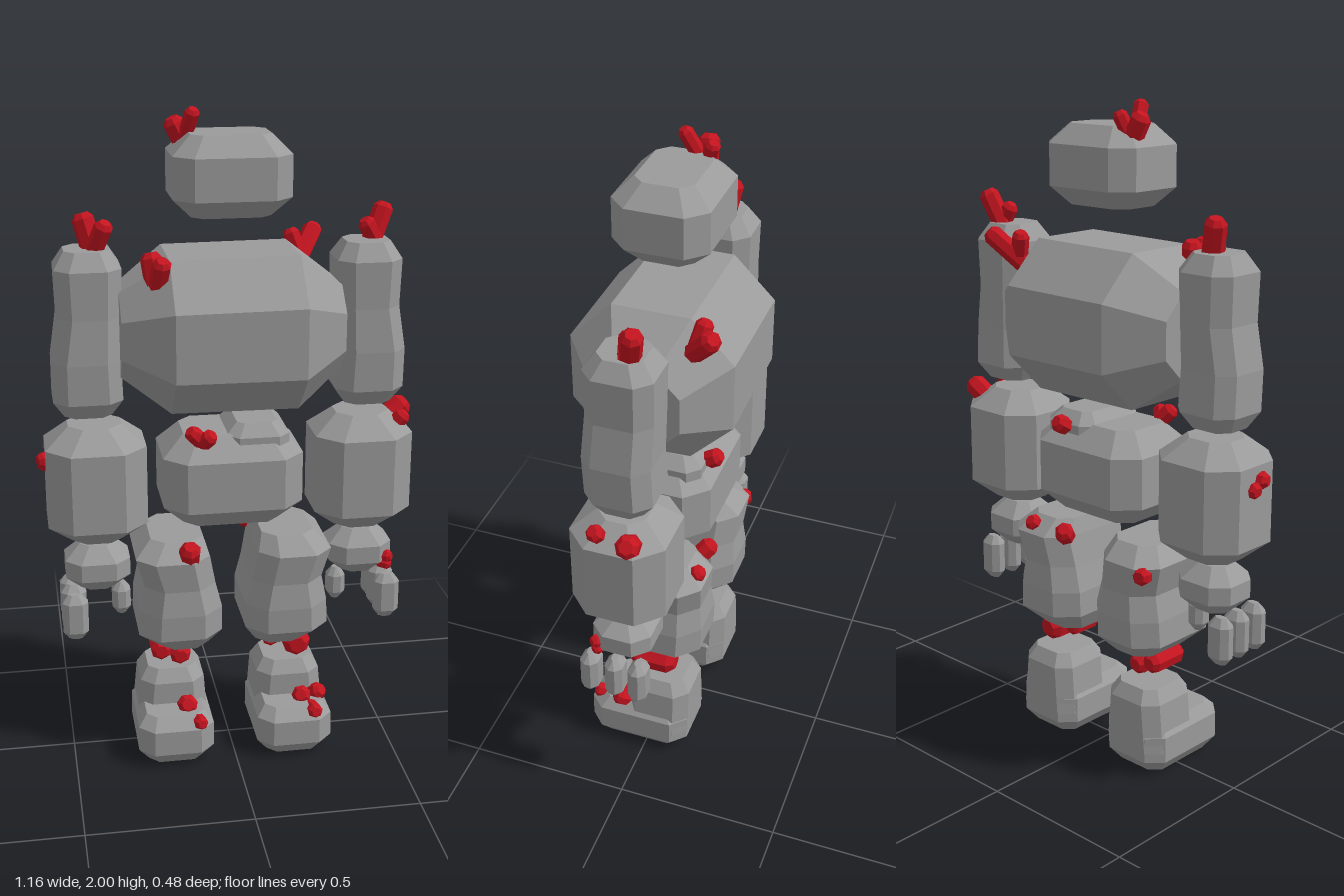
import * as THREE from 'three';

const stone = new THREE.MeshStandardMaterial({ color: 0x9b9b9b, flatShading: true });
stone.name = 'stone grey';
const ruby = new THREE.MeshStandardMaterial({ color: 0xc4141f, flatShading: true });
ruby.name = 'crystal red';

// Eight-sided loft along y; each ring is [y, halfX, halfZ, chamfer, offsetX, offsetZ]
function loft(rings) {
  const loops = rings.map(([y, a, b, c, ox = 0, oz = 0]) =>
    [[a, -b + c], [a, b - c], [a - c, b], [c - a, b], [-a, b - c], [-a, c - b], [c - a, -b], [a - c, -b]]
      .map(([x, z]) => [x + ox, y, z + oz]));
  const pos = [];
  const tri = (...pts) => pts.forEach((p) => pos.push(...p));
  const last = loops[loops.length - 1];
  for (let j = 0; j < 8; j++) {
    const k = (j + 1) % 8;
    for (let i = 0; i + 1 < loops.length; i++) {
      tri(loops[i][j], loops[i + 1][j], loops[i][k]);
      tri(loops[i][k], loops[i + 1][j], loops[i + 1][k]);
    }
    if (j > 0 && j < 7) {
      tri(loops[0][0], loops[0][j], loops[0][k]);
      tri(last[0], last[k], last[j]);
    }
  }
  const g = new THREE.BufferGeometry();
  g.setAttribute('position', new THREE.Float32BufferAttribute(pos, 3));
  g.computeVertexNormals();
  return g;
}

// Chamfered boulder filling the given ranges
function boulder(x0, x1, y0, y1, z0, z1, c, cy = c) {
  const a = (x1 - x0) / 2, b = (z1 - z0) / 2, ox = (x0 + x1) / 2, oz = (z0 + z1) / 2;
  return loft([
    [y0, a - c, b - c, c * 0.6, ox, oz],
    [y0 + cy, a, b, c, ox, oz],
    [y1 - cy, a, b, c, ox, oz],
    [y1, a - c, b - c, c * 0.6, ox, oz],
  ]);
}

// Blunt crystal from base to tip
function crystal(base, tip, r) {
  const from = new THREE.Vector3(...base), dir = new THREE.Vector3(...tip).sub(from);
  const L = dir.length(), e = Math.min(r * 0.5, L * 0.3);
  const profile = [[0, 0], [r * 0.6, 0], [r, e], [r, L - e], [r * 0.6, L], [0, L]]
    .map(([x, y]) => new THREE.Vector2(x, y));
  const m = new THREE.Mesh(new THREE.LatheGeometry(profile, 7), ruby);
  m.position.copy(from);
  m.quaternion.setFromUnitVectors(new THREE.Vector3(0, 1, 0), dir.normalize());
  return m;
}

export function createModel() {
  const model = new THREE.Group();
  model.name = 'stoneGolem';
  const add = (name, geometry) => {
    const m = new THREE.Mesh(geometry, stone);
    m.name = name;
    model.add(m);
  };

  add('head', boulder(-0.17, 0.17, 1.70, 1.93, -0.14, 0.138, 0.055));

  // Barrel torso, lofted from side to side
  const torso = loft([
    [-0.325, 0.125, 0.13, 0.07],
    [-0.185, 0.225, 0.24, 0.125],
    [0.19, 0.228, 0.24, 0.125],
    [0.325, 0.125, 0.13, 0.07],
  ]);
  torso.rotateZ(-Math.PI / 2).translate(0, 1.367, 0);
  add('torso', torso);

  // Pelvis with a raised slab on its left half
  add('pelvis', boulder(-0.21, 0.21, 0.775, 1.06, -0.163, 0.16, 0.065));
  add('pelvisSlab', boulder(-0.02, 0.17, 0.98, 1.09, -0.13, 0.12, 0.035));

  for (const s of [1, -1]) {
    const side = s > 0 ? 'left' : 'right';
    const span = (a, b) => (s > 0 ? [a, b] : [-b, -a]);

    // Slightly bowed upper arm
    add(side + 'UpperArm', loft([
      [1.12, 0.07, 0.065, 0.03, s * 0.42, -0.01],
      [1.17, 0.102, 0.1, 0.042, s * 0.42, -0.01],
      [1.29, 0.1, 0.1, 0.042, s * 0.422, -0.005],
      [1.42, 0.092, 0.098, 0.042, s * 0.41, -0.01],
      [1.56, 0.096, 0.1, 0.042, s * 0.41, -0.01],
      [1.61, 0.065, 0.065, 0.03, s * 0.41, -0.01],
    ]));
    add(side + 'Forearm', boulder(...span(0.255, 0.552), 0.727, 1.09, -0.145, 0.14, 0.07, 0.06));

    // Hand with three fingers and a thumb
    add(side + 'Palm', boulder(...span(0.31, 0.505), 0.565, 0.71, -0.09, 0.09, 0.045));
    for (const z of [0.09, 0.013, -0.06])
      add(side + 'Finger', boulder(...span(0.445, 0.522), 0.43, 0.575, z - 0.028, z + 0.028, 0.018, 0.025));
    add(side + 'Thumb', boulder(...span(0.31, 0.366), 0.47, 0.575, -0.015, 0.045, 0.016, 0.025));

    // Leg with a waist at the knee
    add(side + 'Leg', loft([
      [0.367, 0.075, 0.1, 0.04, s * 0.15],
      [0.43, 0.128, 0.165, 0.06, s * 0.165],
      [0.51, 0.126, 0.168, 0.06, s * 0.163],
      [0.59, 0.108, 0.16, 0.055, s * 0.165],
      [0.685, 0.112, 0.17, 0.055, s * 0.187],
      [0.735, 0.08, 0.115, 0.04, s * 0.17],
    ]));

    // Foot: long sole block and taller heel block
    add(side + 'Foot', loft([
      [0.005, 0.085, 0.125, 0.03, s * 0.187, 0.028],
      [0.05, 0.118, 0.162, 0.045, s * 0.187, 0.028],
      [0.13, 0.117, 0.162, 0.045, s * 0.187, 0.028],
      [0.165, 0.09, 0.125, 0.03, s * 0.187, 0.028],
    ]));
    add(side + 'Ankle', loft([
      [0.08, 0.113, 0.105, 0.04, s * 0.187, -0.031],
      [0.235, 0.1, 0.104, 0.04, s * 0.185, -0.031],
      [0.275, 0.075, 0.078, 0.03, s * 0.185, -0.031],
    ]));
  }

  // Crystal clusters: [base, tip, radius]
  const clusters = {
    headCrystals: [
      [[-0.12, 1.89, -0.05], [-0.157, 1.965, -0.045], 0.03],
      [[-0.12, 1.89, -0.05], [-0.093, 1.97, -0.077], 0.022],
      [[-0.125, 1.89, -0.04], [-0.1, 1.995, 0.012], 0.022]],
    rightShoulderCrystals: [
      [[-0.385, 1.58, -0.015], [-0.418, 1.705, -0.038], 0.033],
      [[-0.395, 1.58, -0.01], [-0.355, 1.69, 0.038], 0.028]],
    leftShoulderCrystals: [
      [[0.425, 1.58, -0.03], [0.477, 1.705, -0.058], 0.031],
      [[0.45, 1.59, -0.03], [0.405, 1.665, -0.02], 0.026]],
    chestCrystals: [
      [[-0.22, 1.5, 0.1], [-0.235, 1.61, 0.08], 0.032],
      [[-0.22, 1.51, 0.11], [-0.21, 1.605, 0.167], 0.028]],
    backCrystals: [
      [[0.225, 1.51, -0.13], [0.3, 1.615, -0.213], 0.03],
      [[0.25, 1.51, -0.14], [0.212, 1.615, -0.165], 0.026]],
    rightForearmCrystals: [
      [[-0.53, 0.985, 0.01], [-0.574, 0.985, 0.025], 0.026],
      [[-0.53, 0.965, -0.01], [-0.572, 0.96, -0.02], 0.024],
      [[-0.28, 0.985, -0.05], [-0.247, 0.985, -0.05], 0.025]],
    leftForearmCrystals: [
      [[0.49, 1.03, -0.05], [0.567, 1.085, -0.063], 0.035],
      [[0.49, 1.03, 0.035], [0.535, 1.085, 0.048], 0.026]],
    pelvisCrystals: [
      [[-0.09, 1.04, 0.1], [-0.135, 1.09, 0.125], 0.025],
      [[-0.1, 1.04, 0.11], [-0.068, 1.08, 0.14], 0.025],
      [[0.07, 1.04, -0.12], [0.07, 1.07, -0.17], 0.028]],
    legCrystals: [
      [[-0.14, 0.66, 0.12], [-0.14, 0.74, 0.165], 0.033],
      [[0.09, 0.68, -0.11], [0.063, 0.725, -0.15], 0.03],
      [[0.2, 0.69, -0.12], [0.2, 0.725, -0.16], 0.026],
      [[-0.25, 0.66, -0.12], [-0.265, 0.665, -0.17], 0.028]],
    handCrystals: [
      [[0.46, 0.62, 0.05], [0.5, 0.625, 0.08], 0.02],
      [[0.46, 0.6, 0.05], [0.5, 0.595, 0.075], 0.018]],
    ankleCrystals: [
      [[0.212, 0.33, -0.08], [0.212, 0.33, 0.065], 0.044],
      [[0.13, 0.35, -0.06], [0.13, 0.35, 0.05], 0.028],
      [[-0.22, 0.343, -0.075], [-0.22, 0.343, 0.065], 0.034],
      [[-0.16, 0.32, -0.07], [-0.16, 0.32, 0.06], 0.034]],
    rightFootCrystals: [
      [[-0.145, 0.15, 0.06], [-0.147, 0.185, 0.125], 0.032],
      [[-0.125, 0.14, 0.13], [-0.11, 0.148, 0.19], 0.022]],
    leftFootCrystals: [
      [[0.23, 0.15, 0.06], [0.212, 0.185, 0.12], 0.03],
      [[0.25, 0.15, 0.06], [0.285, 0.185, 0.1], 0.028],
      [[0.24, 0.14, 0.1], [0.25, 0.155, 0.185], 0.024]],
  };
  for (const [name, list] of Object.entries(clusters)) {
    const group = new THREE.Group();
    group.name = name;
    list.forEach((c) => {
      const m = crystal(...c);
      m.name = 'crystal';
      group.add(m);
    });
    model.add(group);
  }
  return model;
}
